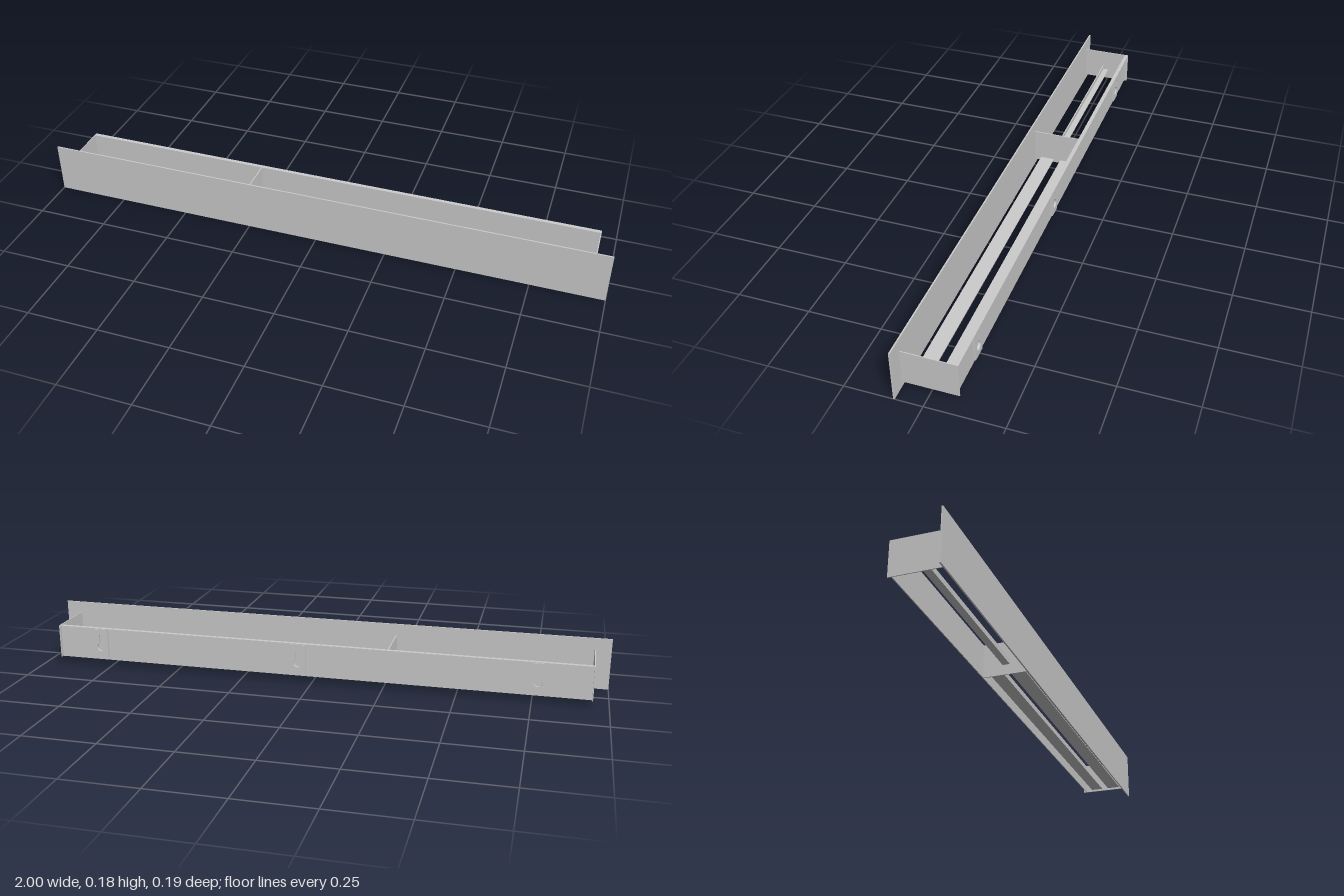
import * as THREE from 'three';

const material = new THREE.MeshStandardMaterial({ color: 0xcccccc, flatShading: true });

// Box given by its minimum and maximum corners
function slab(name, [x0, y0, z0], [x1, y1, z1]) {
  const mesh = new THREE.Mesh(new THREE.BoxGeometry(x1 - x0, y1 - y0, z1 - z0), material);
  mesh.name = name;
  mesh.position.set((x0 + x1) / 2, (y0 + y1) / 2, (z0 + z1) / 2);
  return mesh;
}

// Mounting plate with a keyhole: round opening below, narrow slot above
function keyholeGeometry() {
  const plate = new THREE.Shape();
  plate.moveTo(-0.026, 0.032);
  plate.lineTo(0.026, 0.032);
  plate.lineTo(0.026, 0.135);
  plate.lineTo(-0.026, 0.135);
  plate.closePath();

  const hole = new THREE.Path();
  const cy = 0.068, r = 0.015, slot = 0.007, top = 0.108;
  const a = Math.acos(slot / r);
  hole.moveTo(slot, top);
  hole.absarc(0, top, slot, 0, Math.PI, false);
  hole.lineTo(-slot, cy + r * Math.sin(a));
  hole.absarc(0, cy, r, Math.PI - a, Math.PI * 2 + a, false);
  hole.closePath();
  plate.holes.push(hole);
  return new THREE.ExtrudeGeometry(plate, { depth: 0.008, bevelEnabled: false, curveSegments: 12 });
}

export function createModel() {
  const group = new THREE.Group();
  const left = 0.947, right = -0.947, split = -0.265;
  const bottom = 0.02, top = 0.14, back = -0.092, front = 0.088;

  group.add(slab('frontPanel', [-1, 0, front], [1, 0.18, 0.093]));

  // Open tray behind the front panel
  group.add(slab('backPanel', [right, bottom, -0.081], [left, top, -0.078]));
  group.add(slab('backTopLip', [right, top - 0.003, back], [left, top, -0.078]));
  group.add(slab('leftEndPlate', [left - 0.003, bottom, back], [left, top, front]));
  group.add(slab('rightEndPlate', [right, bottom, back], [right + 0.003, top, front]));
  group.add(slab('divider', [split - 0.002, bottom, -0.078], [split + 0.002, top, front]));

  // Two floor slats in the long bay
  for (const [z0, z1] of [[-0.055, -0.01], [0.015, 0.065]]) {
    group.add(slab('floorSlat', [split, 0.028, z0], [left - 0.003, 0.032, z1]));
  }

  // Angle rail in the short bay
  group.add(slab('railFlange', [right, 0.056, -0.01], [split, 0.06, 0.015]));
  group.add(slab('railWeb', [right, 0.056, 0.011], [split, 0.075, 0.015]));

  // Keyhole hangers on the back
  const hanger = keyholeGeometry();
  for (const x of [0.786, 0.05, -0.768]) {
    const mesh = new THREE.Mesh(hanger, material);
    mesh.name = 'keyholeHanger';
    mesh.position.set(x, 0, -0.089);
    group.add(mesh);
  }
  return group;
}
